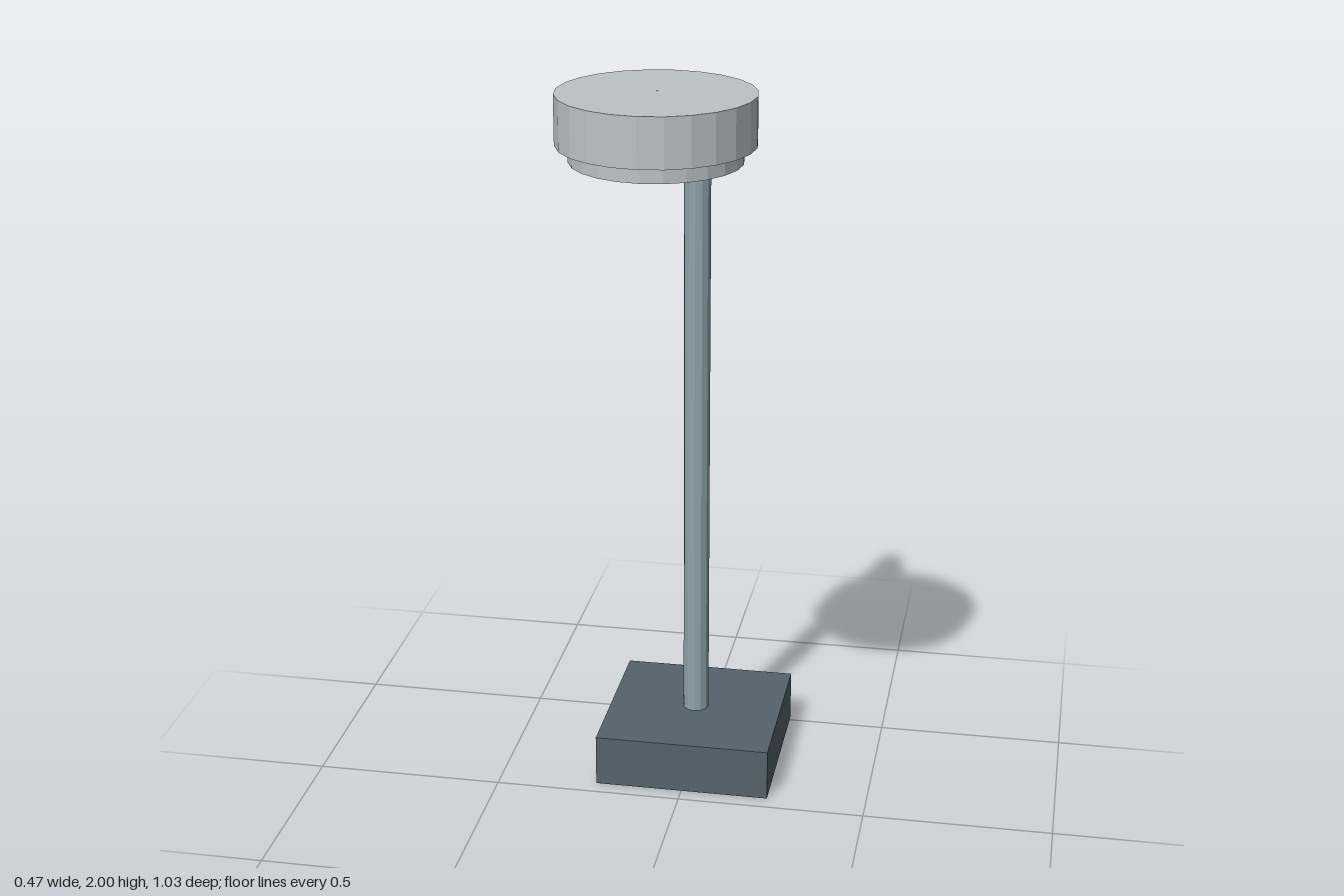
import * as THREE from 'three';

export function createModel() {
  const lamp = new THREE.Group();
  lamp.name = 'streetLamp';

  const material = (name, color) => {
    const m = new THREE.MeshStandardMaterial({ color, flatShading: true });
    m.name = name;
    return m;
  };
  const slate = material('darkSlate', 0x56626c);
  const steel = material('blueSteel', 0x8fa3ab);
  const silver = material('silverGrey', 0xbdc2c6);

  const add = (name, geometry, mat, x, y, z) => {
    const mesh = new THREE.Mesh(geometry, mat);
    mesh.name = name;
    mesh.position.set(x, y, z);
    lamp.add(mesh);
    return mesh;
  };
  const disc = (radius, height, sides) => new THREE.CylinderGeometry(radius, radius, height, sides);

  const poleZ = -0.28, headZ = 0.28, tubeRadius = 0.035;

  // Square foot and upright pole
  add('base', new THREE.BoxGeometry(0.47, 0.14, 0.47), slate, 0, 0.07, poleZ);
  add('pole', disc(tubeRadius, 1.58, 12), steel, 0, 0.93, poleZ);

  // Sloping arm from the pole top to the middle of the head
  const start = new THREE.Vector3(0, 1.72, poleZ);
  const end = new THREE.Vector3(0, 1.9685, headZ);
  const along = end.clone().sub(start);
  const middle = start.clone().lerp(end, 0.5);
  const arm = add('arm', disc(tubeRadius, along.length(), 12), steel, 0, middle.y, middle.z);
  arm.rotation.x = Math.atan2(along.z, along.y);

  // Round head with a narrower disc below
  add('head', disc(0.235, 0.12, 24), silver, 0, 1.94, headZ);
  add('lens', disc(0.204, 0.04, 24), silver, 0, 1.86, headZ);

  return lamp;
}
